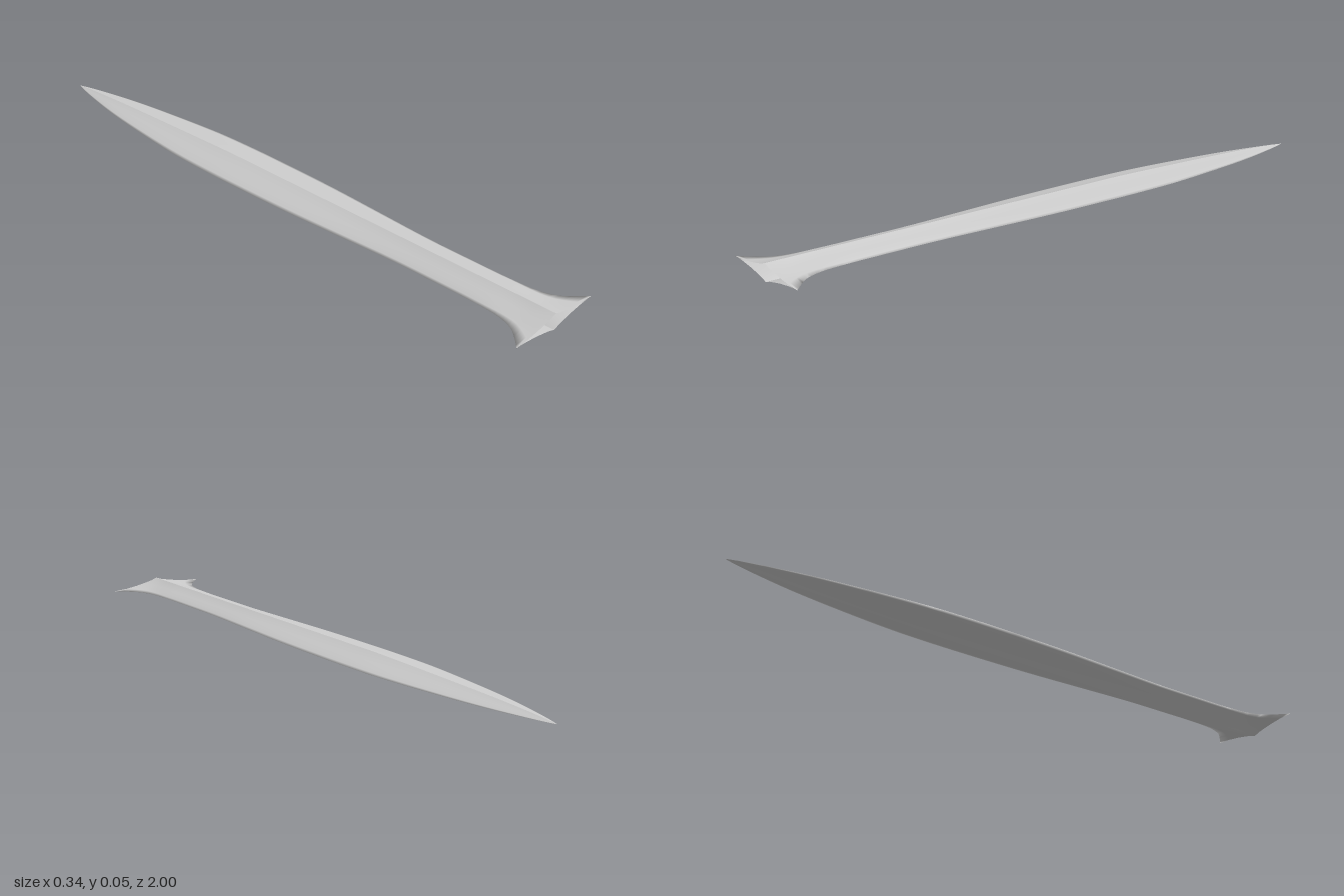
import * as THREE from 'three';

const MID = 0.029; // height of the cutting edge

// Outline stations from the flared base to the tip: [z, half width, half thickness]
const stations = [
  [1, 0.168, 0.027], [0.96, 0.128, 0.027], [0.93, 0.105, 0.027], [0.88, 0.088, 0.027],
  [0.8, 0.081, 0.027], [0.65, 0.08, 0.027], [0.5, 0.081, 0.027], [0.3, 0.091, 0.027],
  [0.1, 0.101, 0.027], [-0.1, 0.105, 0.027], [-0.25, 0.105, 0.027], [-0.4, 0.1, 0.024],
  [-0.6, 0.08, 0.019], [-0.77, 0.056, 0.014], [-0.9, 0.029, 0.008], [-0.97, 0.011, 0.003],
  [-1, 0.001, 0.0005],
];

// Half cross-section, ridge to edge: [fraction of width, fraction of thickness]
const bladeSection = [[0, 1], [0.2, 0.76], [0.45, 0.55], [0.72, 0.34], [0.9, 0.13], [1, 0]];
const baseSection = [[0, 1], [0.13, 0.72], [0.3, 0.5], [0.48, 0.29], [0.72, 0.09], [1, 0]];

// One half of the blade, smooth round the cutting edge and sharp at the ridges
function bladeHalf(side) {
  const curve = new THREE.CatmullRomCurve3(
    stations.map(([z, w, h]) => new THREE.Vector3(w, h, z)), false, 'centripetal');
  const rows = curve.getPoints(64);
  const last = bladeSection.length - 1;
  const cols = 2 * last + 1;
  const positions = [];
  const indices = [];

  rows.forEach((p, i) => {
    const flare = THREE.MathUtils.smoothstep(p.z, 0.8, 1);
    for (let j = 0; j < cols; j++) {
      const k = j <= last ? j : 2 * last - j;
      const u = THREE.MathUtils.lerp(bladeSection[k][0], baseSection[k][0], flare);
      const v = THREE.MathUtils.lerp(bladeSection[k][1], baseSection[k][1], flare);
      positions.push(side * u * p.x, MID + (j <= last ? 1 : -1) * v * p.y, p.z);
      if (i < rows.length - 1 && j < cols - 1) {
        const a = i * cols + j, b = a + 1, c = a + cols, d = c + 1;
        if (side > 0) indices.push(a, b, c, b, d, c);
        else indices.push(a, c, b, b, c, d);
      }
    }
  });

  const geometry = new THREE.BufferGeometry();
  geometry.setAttribute('position', new THREE.Float32BufferAttribute(positions, 3));
  geometry.setIndex(indices);
  geometry.computeVertexNormals();
  return geometry;
}

export function createModel() {
  const model = new THREE.Group();
  model.name = 'blade';
  // The base end is left open, so the inside shows
  const material = new THREE.MeshStandardMaterial({ color: 0xcccccc, side: THREE.DoubleSide });
  for (const [name, side] of [['bladeLeft', 1], ['bladeRight', -1]]) {
    const half = new THREE.Mesh(bladeHalf(side), material);
    half.name = name;
    model.add(half);
  }
  return model;
}
